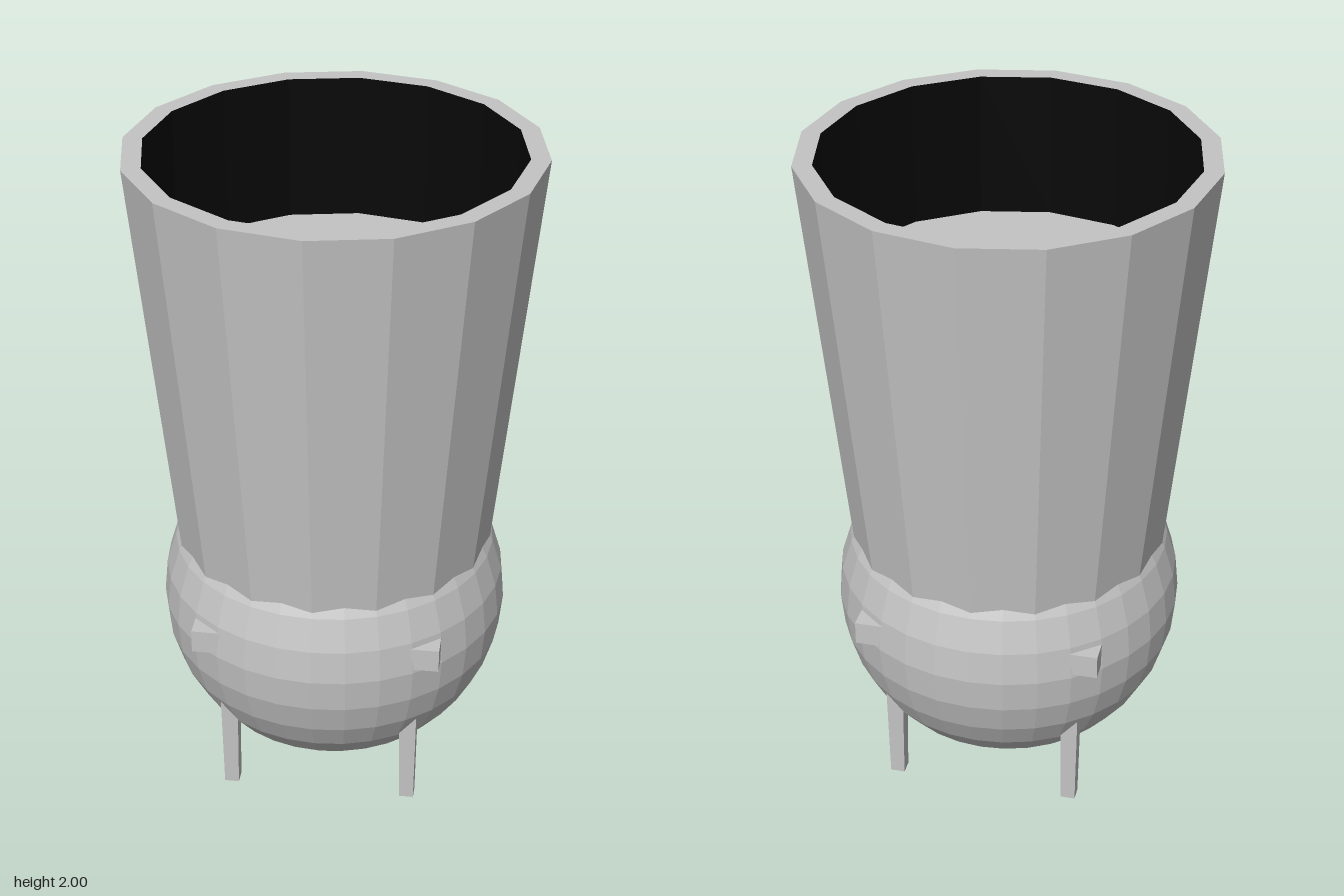
import * as THREE from 'three';

const SIDES = 16;

export function createModel() {
  const group = new THREE.Group();
  const grey = new THREE.MeshStandardMaterial({ color: 0xc4c4c4, flatShading: true });
  grey.name = 'light grey';
  const black = new THREE.MeshStandardMaterial({ color: 0x080808, flatShading: true });
  black.name = 'black';

  const add = (name, geometry, material, x = 0, y = 0, z = 0) => {
    const mesh = new THREE.Mesh(geometry, material);
    mesh.name = name;
    mesh.position.set(x, y, z);
    group.add(mesh);
    return mesh;
  };
  const lathe = (...points) =>
    new THREE.LatheGeometry(points.map(([r, y]) => new THREE.Vector2(r, y)), SIDES);

  // Flared tube with a flat rim, dark inside wall and raised floor
  add('tubeAndRim', lathe([0.46, 0.54], [0.605, 2], [0.548, 2]), grey);
  add('innerWall', lathe([0.548, 2], [0.548, 1.555]), black);
  add('innerFloor', lathe([0.548, 1.555], [0, 1.555]), grey);

  // Faceted round base
  add('ballBase', new THREE.SphereGeometry(0.53, 32, 16), grey, 0, 0.535, 0);

  // Four tapered legs and four small square studs
  const legGeometry = new THREE.CylinderGeometry(0.0275 * Math.SQRT2, 0.022 * Math.SQRT2, 0.4, 4);
  legGeometry.rotateY(Math.PI / 4);
  const studGeometry = new THREE.BoxGeometry(0.11, 0.073, 0.11);
  for (const sx of [-1, 1]) {
    for (const sz of [-1, 1]) {
      const label = (sz > 0 ? 'front' : 'back') + (sx > 0 ? 'Left' : 'Right');
      add(label + 'Leg', legGeometry, grey, sx * 0.275, 0.2, sz * 0.343);
      add(label + 'Stud', studGeometry, grey, sx * 0.315, 0.583, sz * 0.382);
    }
  }
  return group;
}
